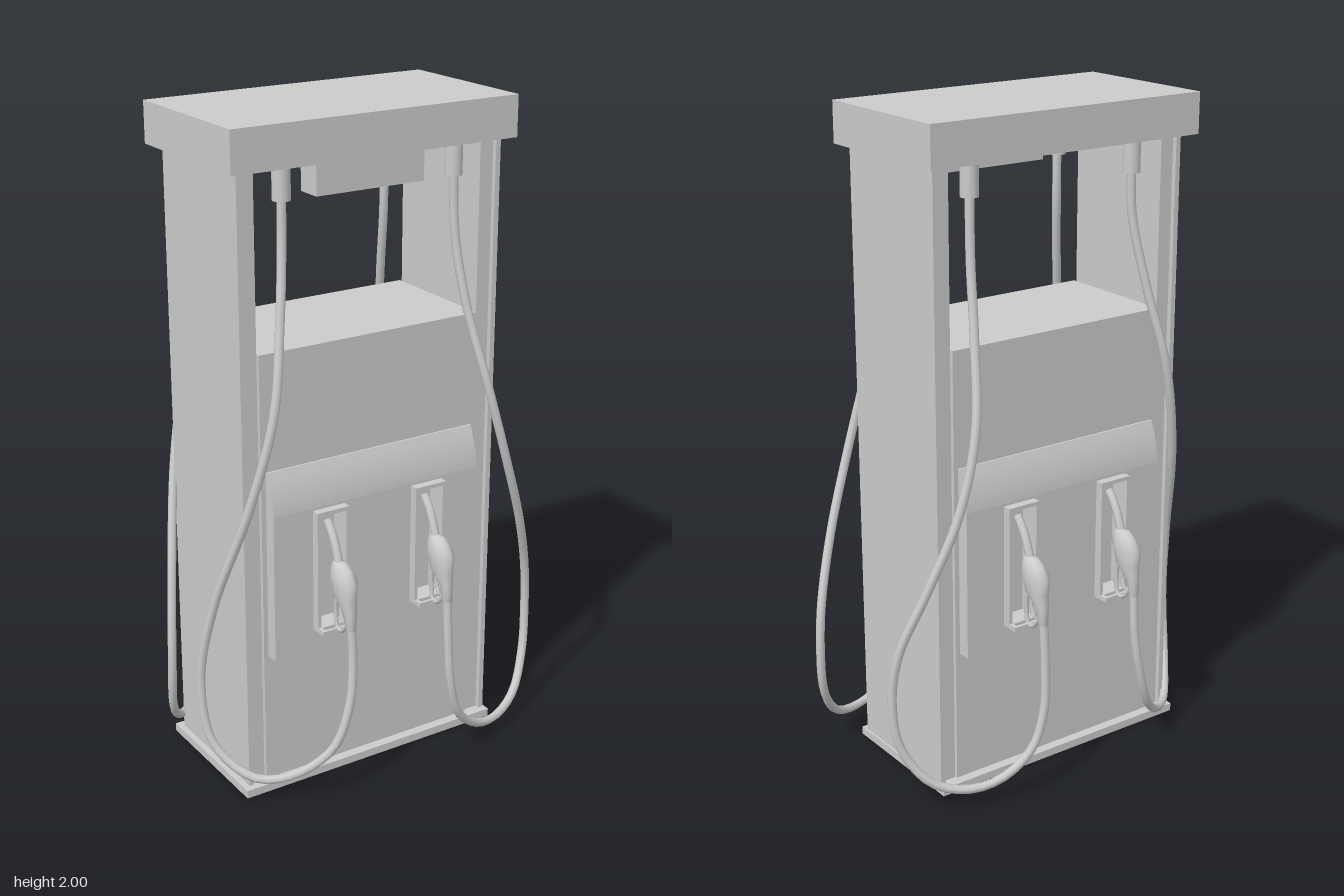
import * as THREE from 'three';
import { toCreasedNormals } from 'three/addons/utils/BufferGeometryUtils.js';

const mat = new THREE.MeshStandardMaterial({ color: 0xcccccc });
const CX = -0.036; // cabinet centre line

function add(parent, name, geo) {
  const m = new THREE.Mesh(geo, mat);
  m.name = name;
  parent.add(m);
  return m;
}

// box given by its min and max corners
function box(parent, name, x0, x1, y0, y1, z0, z1) {
  const m = add(parent, name, new THREE.BoxGeometry(x1 - x0, y1 - y0, z1 - z0));
  m.position.set((x0 + x1) / 2, (y0 + y1) / 2, (z0 + z1) / 2);
  return m;
}

function rect(T, x0, x1, y0, y1) {
  const s = new T();
  s.moveTo(x0, y0).lineTo(x1, y0).lineTo(x1, y1).lineTo(x0, y1).lineTo(x0, y0);
  return s;
}

function tube(parent, name, pts, r, segs, closed = false) {
  const curve = new THREE.CatmullRomCurve3(pts.map(p => new THREE.Vector3(...p)), closed);
  return add(parent, name, new THREE.TubeGeometry(curve, segs, r, 8, closed));
}

// stack of horizontal ellipses [y, z, rx, rz], from bottom to top
function loft(rings, n = 12) {
  const pos = [], idx = [];
  rings.forEach(([y, z, rx, rz], i) => {
    for (let j = 0; j < n; j++) {
      const a = j / n * Math.PI * 2;
      pos.push(rx * Math.cos(a), y, z + rz * Math.sin(a));
      if (i === rings.length - 1) continue;
      const p = i * n + j, q = i * n + (j + 1) % n;
      idx.push(p, p + n, q, q, p + n, q + n);
    }
  });
  const g = new THREE.BufferGeometry();
  g.setAttribute('position', new THREE.Float32BufferAttribute(pos, 3));
  g.setIndex(idx);
  g.computeVertexNormals();
  return g;
}

function nozzle() {
  const g = new THREE.Group();
  g.name = 'nozzle';
  add(g, 'nozzleBody', loft([
    [0.54, 0.36, 0.001, 0.001], [0.54, 0.36, 0.015, 0.015], [0.595, 0.352, 0.019, 0.022],
    [0.635, 0.327, 0.029, 0.046], [0.685, 0.32, 0.034, 0.054], [0.715, 0.308, 0.026, 0.042],
    [0.732, 0.3, 0.016, 0.026], [0.735, 0.3, 0.001, 0.001]]));
  tube(g, 'spout', [[0, 0.69, 0.305], [0, 0.75, 0.285], [0, 0.8, 0.262], [0, 0.84, 0.232]], 0.013, 12);
  tube(g, 'triggerGuard', [[0, 0.645, 0.29], [0, 0.57, 0.277], [0, 0.515, 0.287],
    [0, 0.515, 0.308], [0, 0.555, 0.345]], 0.007, 18);
  tube(g, 'trigger', [[0, 0.63, 0.31], [0, 0.58, 0.303], [0, 0.545, 0.315]], 0.006, 8);
  return g;
}

// raised frame around a recess, with a small loop ledge at its foot
function holder() {
  const g = new THREE.Group();
  g.name = 'nozzleHolder';
  const s = rect(THREE.Shape, -0.054, 0.054, 0.504, 0.882);
  s.holes.push(rect(THREE.Path, -0.043, 0.043, 0.516, 0.87));
  add(g, 'holderFrame', new THREE.ExtrudeGeometry(s, { depth: 0.026, bevelEnabled: false })).position.z = 0.24;
  for (const k of [-1, 1]) box(g, 'ledgeArm', k * 0.048 - 0.006, k * 0.048 + 0.006, 0.504, 0.518, 0.264, 0.295);
  box(g, 'ledgeBar', -0.054, 0.054, 0.504, 0.518, 0.285, 0.295);
  g.add(nozzle());
  return g;
}

// front panel with two holders, centred on x = 0
function fascia() {
  const g = new THREE.Group();
  g.name = 'fascia';
  const w = 0.354, s = rect(THREE.Shape, -w, w, 0.435, 0.89);
  for (const x of [-0.17, 0.17]) {
    s.holes.push(rect(THREE.Path, x - 0.043, x + 0.043, 0.516, 0.87));
    const h = holder();
    h.position.x = x;
    g.add(h);
  }
  add(g, 'panel', new THREE.ExtrudeGeometry(s, { depth: 0.04, bevelEnabled: false })).position.z = 0.2;

  // curved top of the panel: profile in (-z, y) swept along x
  const p = new THREE.Shape();
  p.moveTo(-0.2, 0.89).lineTo(-0.2, 1.015).lineTo(-0.206, 1.015);
  p.quadraticCurveTo(-0.236, 0.95, -0.24, 0.89).lineTo(-0.2, 0.89);
  const top = new THREE.ExtrudeGeometry(p, { depth: 2 * w, bevelEnabled: false, curveSegments: 8 });
  top.translate(0, 0, -w).rotateY(Math.PI / 2);
  add(g, 'panelTop', toCreasedNormals(top, 0.5));
  return g;
}

const hosePaths = [
  [[-0.312, 1.8, 0.175], [-0.316, 1.65, 0.18], [-0.345, 1.45, 0.215], [-0.395, 1.2, 0.26],
    [-0.46, 0.92, 0.225], [-0.53, 0.6, 0.13], [-0.558, 0.35, 0.092], [-0.54, 0.15, 0.13],
    [-0.46, 0.06, 0.225], [-0.37, 0.075, 0.295], [-0.27, 0.165, 0.36], [-0.222, 0.3, 0.375],
    [-0.206, 0.42, 0.368], [-0.206, 0.56, 0.36]],
  [[0.255, 1.8, 0.175], [0.26, 1.6, 0.185], [0.277, 1.4, 0.225], [0.32, 1.15, 0.29],
    [0.385, 0.92, 0.3], [0.47, 0.7, 0.265], [0.54, 0.5, 0.215], [0.557, 0.35, 0.203],
    [0.54, 0.2, 0.22], [0.47, 0.09, 0.27], [0.37, 0.055, 0.315], [0.27, 0.073, 0.345],
    [0.18, 0.15, 0.368], [0.142, 0.27, 0.376], [0.134, 0.4, 0.37], [0.134, 0.56, 0.36]],
];

export function createModel() {
  const model = new THREE.Group();
  model.name = 'fuelPump';

  // cabinet
  box(model, 'base', -0.487, 0.402, 0, 0.025, -0.23, 0.23);
  box(model, 'cabinet', -0.405, 0.333, 0.025, 1.363, -0.2, 0.2);
  box(model, 'canopy', -0.503, 0.425, 1.878, 2, -0.245, 0.245);
  box(model, 'hangingSign', -0.217, 0.136, 1.78, 1.878, 0.12, 0.2);
  for (const k of [-1, 1]) {
    const at = (a, b) => [CX + k * a, CX + k * b].sort((p, q) => p - q);
    box(model, 'sidePost', ...at(0.372, 0.418), 0.025, 1.878, -0.193, 0.193);
    box(model, 'sidePanel', ...at(0.416, 0.432), 0.025, 1.878, -0.208, 0.208);
  }

  // panels, nozzles and hoses on both faces
  for (const k of [1, -1]) {
    const f = fascia();
    f.position.x = CX;
    f.rotation.y = k > 0 ? 0 : Math.PI;
    model.add(f);
    for (const path of hosePaths) {
      const pts = path.map(([x, y, z]) => [x, y, z * k]);
      tube(model, 'hose', pts, 0.0135, 72);
      const c = add(model, 'hoseFitting', new THREE.CylinderGeometry(0.026, 0.026, 0.1, 20));
      c.position.set(pts[0][0], 1.828, pts[0][2]);
    }
  }
  return model;
}
